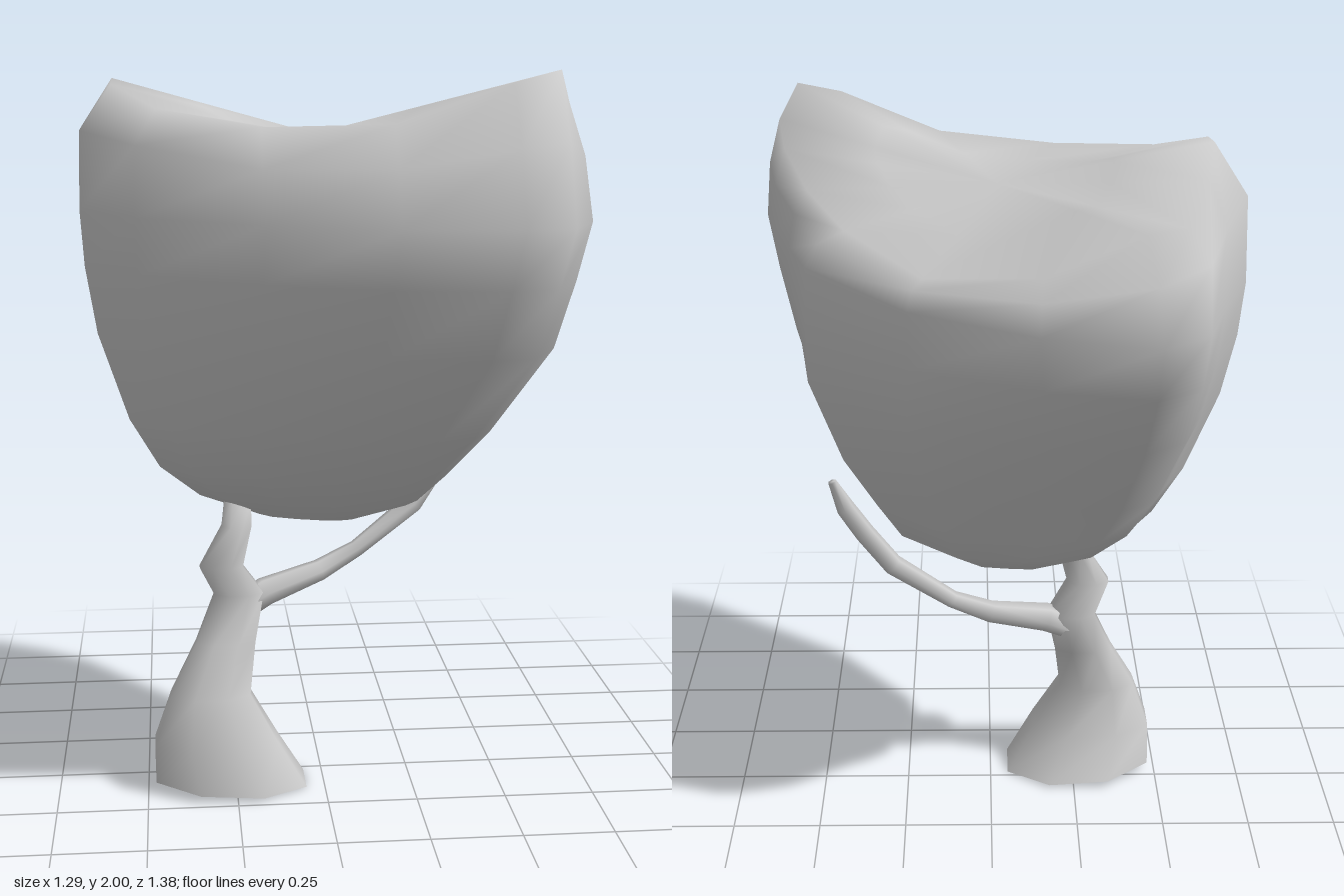
import * as THREE from 'three';

const V = (x, y, z) => new THREE.Vector3(x, y, z);

// Skin over a stack of equal rings, closed by a point at each end
function loft(name, rings, start, end) {
  const n = rings[0].length;
  const points = [...rings.flat(), start, end];
  const first = points.length - 2, last = points.length - 1;
  const index = [];
  for (let j = 0; j < n; j++) {
    const k = (j + 1) % n, top = (rings.length - 1) * n;
    index.push(first, j, k, last, top + k, top + j);
    for (let i = 0; i < rings.length - 1; i++) {
      const a = i * n + j, b = i * n + k;
      index.push(a, a + n, b, b, a + n, b + n);
    }
  }
  const geometry = new THREE.BufferGeometry().setFromPoints(points);
  geometry.setIndex(index);
  geometry.computeVertexNormals();
  const mesh = new THREE.Mesh(geometry, new THREE.MeshStandardMaterial({ color: 0xcccccc }));
  mesh.name = name;
  return mesh;
}

// Elliptical ring square to a direction
function ring(center, ru, rv, dir = V(0, 1, 0), sides = 8) {
  const u = V(dir.y, -dir.x, 0).normalize();
  const v = u.clone().cross(dir).normalize();
  return Array.from({ length: sides }, (_, j) => {
    const a = ((j + 0.5) / sides) * Math.PI * 2;
    return center.clone().addScaledVector(u, Math.cos(a) * ru).addScaledVector(v, Math.sin(a) * rv);
  });
}

function makeCrown() {
  // widest outline, x and z
  const outline = [[-0.39, -0.69], [-0.11, -0.61], [0.21, -0.42], [0.49, -0.06], [0.55, 0.12], [0.61, 0.27],
    [0.645, 0.46], [0.56, 0.645], [0.43, 0.69], [0.14, 0.65], [-0.18, 0.5], [-0.5, 0.27],
    [-0.65, 0.03], [-0.65, -0.19], [-0.57, -0.4], [-0.51, -0.6]];
  // height, x range, z range, roundness of the back left side
  const levels = [[0.765, -0.17, 0.1, -0.11, 0.07, 0.8], [0.83, -0.34, 0.26, -0.19, 0.18, 0.9],
    [0.92, -0.45, 0.33, -0.25, 0.28, 0.9], [1.06, -0.53, 0.43, -0.35, 0.41, 0.85],
    [1.3, -0.61, 0.57, -0.53, 0.58, 0.5], [1.48, -0.64, 0.615, -0.63, 0.645, 0.22], [1.63, -0.65, 0.645, -0.69, 0.69, 0]];
  const rings = levels.map(([y, x0, x1, z0, z1, round]) => outline.map(([x, z]) => {
    const u = x / 0.65, v = z / 0.69, r = Math.hypot(u, v);
    const grow = u > v && r < 1 ? 1 + round * (1 / r - 1) : 1;
    return V((x0 + x1 + u * grow * (x1 - x0)) / 2, y, (z0 + z1 + v * grow * (z1 - z0)) / 2);
  }));

  // wavy rim with two peaks and a valley between them
  const rim = [[-0.36, 1.85, -0.52], [-0.12, 1.74, -0.5], [0.17, 1.69, -0.34], [0.38, 1.73, -0.06],
    [0.49, 1.79, 0.12], [0.56, 1.87, 0.26], [0.585, 1.92, 0.4], [0.54, 2.0, 0.5],
    [0.42, 1.97, 0.53], [0.14, 1.87, 0.47], [-0.18, 1.86, 0.36], [-0.44, 1.9, 0.17],
    [-0.56, 1.96, 0.0], [-0.56, 1.975, -0.12], [-0.53, 1.92, -0.3], [-0.46, 1.86, -0.5]].map(p => V(...p));
  // shoulder between the widest outline and the rim, fuller to the sides than to the front
  const widest = rings[rings.length - 1];
  rings.push(rim.map((p, j) => {
    const s = p.clone().lerp(widest[j], 0.5);
    s.x += (widest[j].x - s.x) * (p.x < -0.4 ? 0.9 : 0.35);
    s.z += (widest[j].z - s.z) * (p.z > 0 ? 0.05 : 0.25);
    s.y += p.x < -0.4 ? 0.045 : 0.015;
    return s;
  }));
  const dip = V(-0.02, 1.83, 0.03);
  rings.push(rim, rim.map(p => p.clone().lerp(dip, 0.45)));
  return loft('crown', rings, V(-0.04, 0.745, -0.03), dip);
}

function makeTrunk() {
  // centre x, y, z, radius in x, radius in z
  const sections = [[-0.265, 0.015, 0.08, 0.23, 0.16], [-0.265, 0.015, 0.08, 0.23, 0.16],
    [-0.305, 0.14, 0.105, 0.188, 0.12], [-0.32, 0.28, 0.1, 0.12, 0.078], [-0.275, 0.42, 0.065, 0.09, 0.055],
    [-0.235, 0.55, 0.03, 0.075, 0.045], [-0.285, 0.64, 0.065, 0.065, 0.04],
    [-0.24, 0.75, 0.04, 0.045, 0.035], [-0.235, 0.82, 0.01, 0.04, 0.03]];
  const rings = sections.map(([x, y, z, rx, rz]) => ring(V(x, y, z), rx, rz));
  // tilted foot
  for (const r of rings.slice(0, 2)) for (const p of r) p.y = 0.015 - (p.x + 0.265) * 0.07;
  return loft('trunk', rings, V(-0.265, 0.015, 0.08), V(-0.235, 0.83, 0.005));
}

function makeBranch() {
  const path = [V(-0.24, 0.5, 0.04), V(-0.16, 0.545, 0.012), V(0, 0.59, -0.035), V(0.11, 0.645, -0.06),
    V(0.275, 0.77, -0.085), V(0.35, 0.88, -0.105), V(0.4, 0.965, -0.12), V(0.432, 1.05, -0.135)];
  const radii = [0.04, 0.042, 0.032, 0.025, 0.03, 0.029, 0.027, 0.012];
  const rings = path.map((p, i) => {
    const dir = path[Math.min(i + 1, path.length - 1)].clone().sub(path[Math.max(i - 1, 0)]).normalize();
    return ring(p, radii[i], radii[i] * 0.95, dir, 6);
  });
  return loft('branch', rings, path[0], path[path.length - 1]);
}

export function createModel() {
  const tree = new THREE.Group();
  tree.name = 'tree';
  tree.add(makeCrown(), makeTrunk(), makeBranch());
  return tree;
}
